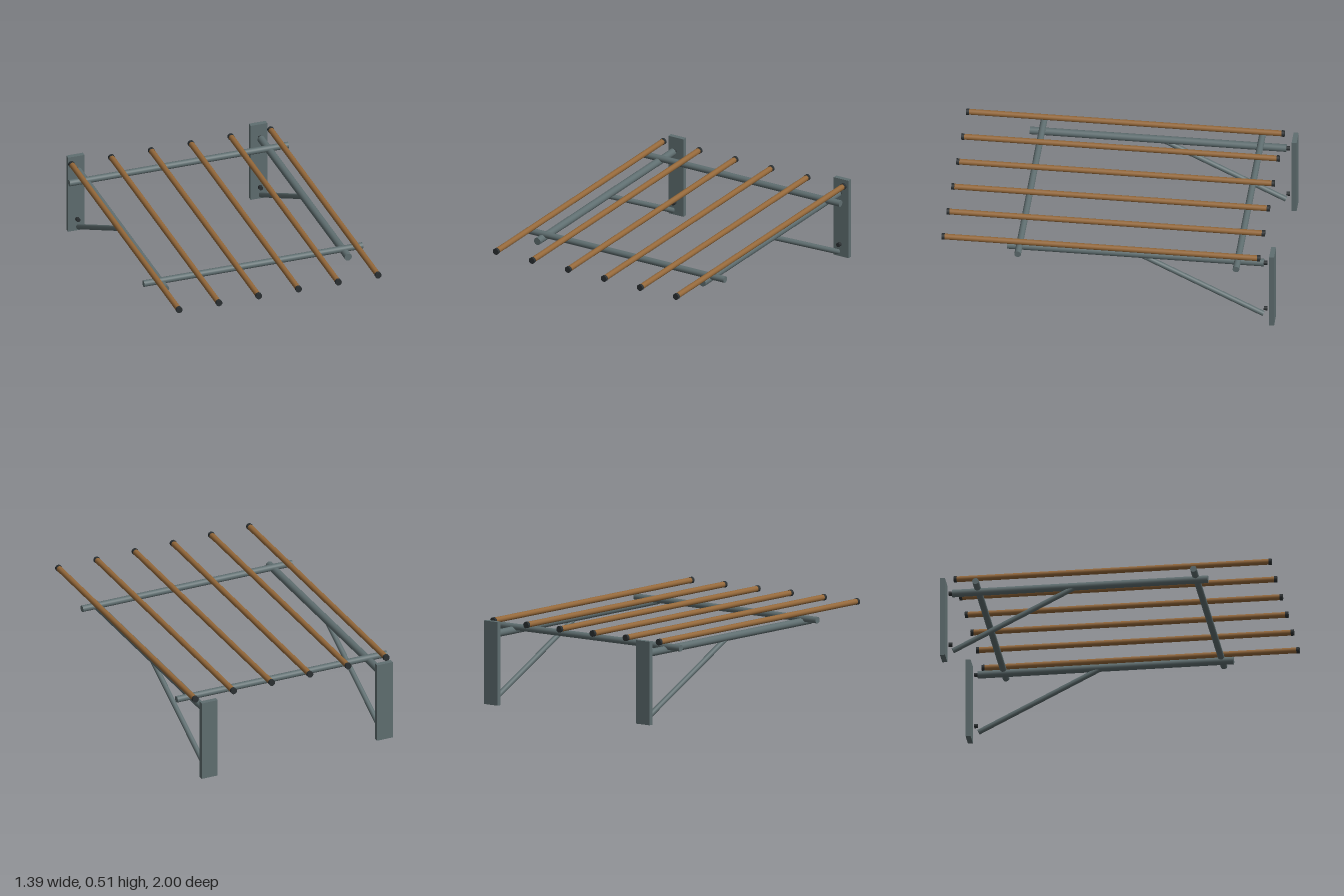
import * as THREE from 'three';

export function createModel() {
  const root = new THREE.Group();
  root.name = 'wallRack';

  const mat = (name, color) => {
    const m = new THREE.MeshStandardMaterial({ color });
    m.name = name;
    return m;
  };
  const steel = mat('greySteel', 0x5f6e70);
  const wood = mat('brownWood', 0x94683a);
  const dark = mat('darkRubber', 0x2b3032);

  const add = (parent, name, geometry, material) => {
    const mesh = new THREE.Mesh(geometry, material);
    mesh.name = name;
    parent.add(mesh);
    return mesh;
  };

  // Round bar between two points
  const bar = (parent, name, a, b, radius, material) => {
    const from = new THREE.Vector3(...a);
    const to = new THREE.Vector3(...b);
    const dir = to.clone().sub(from);
    const mesh = add(parent, name, new THREE.CylinderGeometry(radius, radius, dir.length(), 20), material);
    mesh.position.copy(from).add(to).multiplyScalar(0.5);
    mesh.quaternion.setFromUnitVectors(new THREE.Vector3(0, 1, 0), dir.normalize());
    return mesh;
  };

  // Wall brackets: plate, arm, diagonal brace and bolts
  for (const [side, x] of [['left', 0.58], ['right', -0.58]]) {
    const bracket = new THREE.Group();
    bracket.name = side + 'Bracket';
    root.add(bracket);
    add(bracket, 'wallPlate', new THREE.BoxGeometry(0.105, 0.506, 0.03), steel)
      .position.set(x, 0.253, -0.985);
    bar(bracket, 'arm', [x, 0.425, 0.61], [x, 0.425, -0.933], 0.023, steel);
    bar(bracket, 'brace', [x, 0.42, -0.193], [x, 0.047, -0.929], 0.016, steel);
    for (const y of [0.425, 0.088]) {
      bar(bracket, 'bolt', [x, y, -0.933], [x, y, -0.954], 0.013, dark);
    }
  }

  // Cross rails resting on the arms
  for (const [name, z] of [['frontRail', 0.536], ['rearRail', -0.778]]) {
    bar(root, name, [-0.695, 0.445, z], [0.695, 0.445, z], 0.02, steel);
  }

  // Wooden poles with dark end caps
  for (let i = 0; i < 6; i++) {
    const x = (i - 2.5) * 0.2528;
    const y = 0.493;
    const pole = new THREE.Group();
    pole.name = 'pole' + (i + 1);
    root.add(pole);
    bar(pole, 'rod', [x, y, 0.99], [x, y, -0.905], 0.0175, wood);
    bar(pole, 'frontCap', [x, y, 1], [x, y, 0.982], 0.0195, dark);
    bar(pole, 'rearCap', [x, y, -0.898], [x, y, -0.916], 0.0195, dark);
  }

  return root;
}
